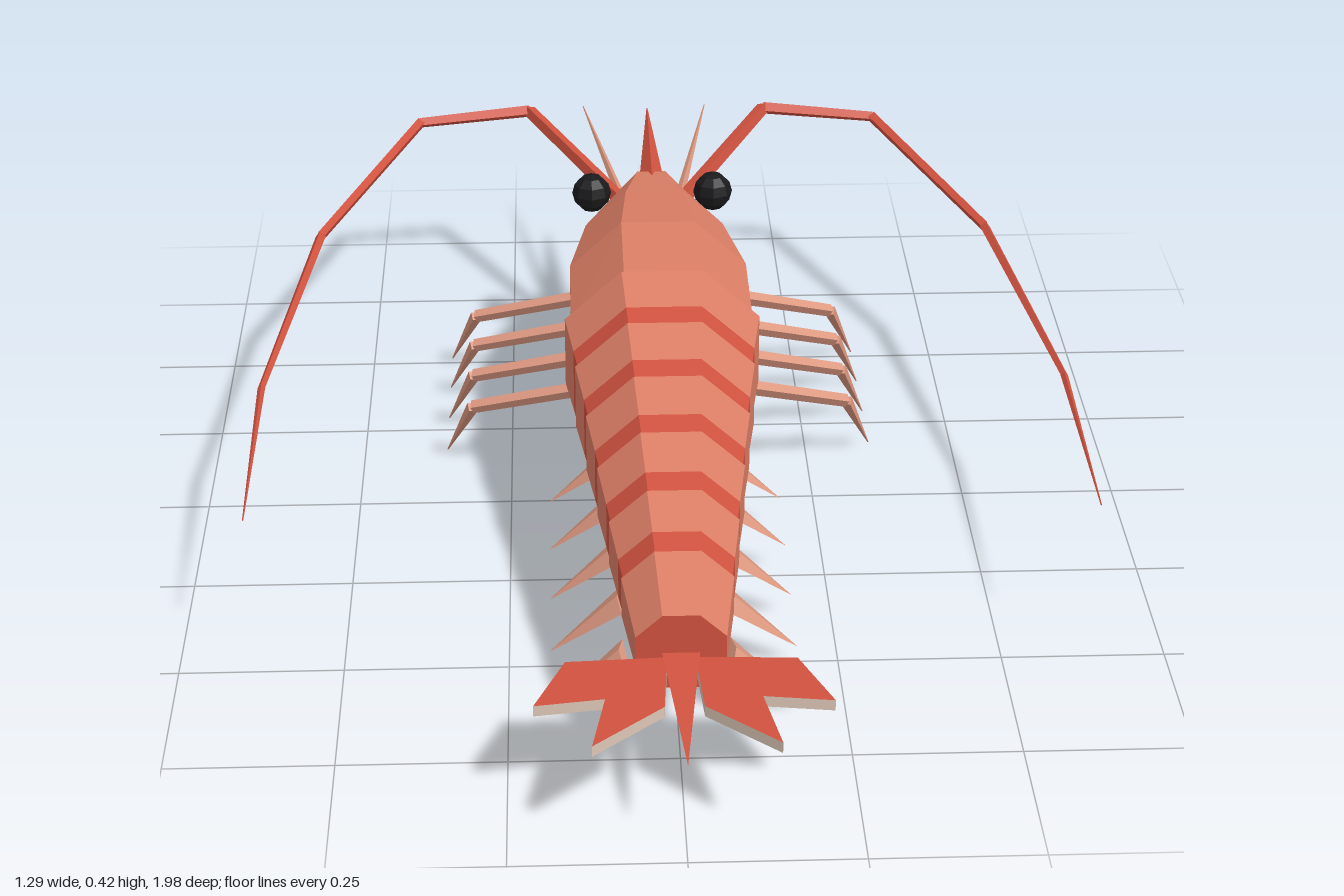
import * as THREE from 'three';

const mat = (name, color) => {
  const m = new THREE.MeshStandardMaterial({ color });
  m.name = name;
  return m;
};

// Faceted mesh: every face gets its own normal
function facet(name, geo, material) {
  const g = geo.index ? geo.toNonIndexed() : geo;
  g.computeVertexNormals();
  const mesh = new THREE.Mesh(g, material);
  mesh.name = name;
  return mesh;
}

// Octagonal ring with flat top and sides: [z, centre y, half width, half height]
function ringPoints([z, cy, rx, ry]) {
  const k = 1 / Math.cos(Math.PI / 8);
  return Array.from({ length: 8 }, (_, i) => {
    const a = (i + 0.5) * Math.PI / 4;
    return [Math.cos(a) * rx * k, cy + Math.sin(a) * ry * k, z];
  });
}

// Skin chosen sides of the octagon between rings ordered by rising z
function loft(rings, sides) {
  const pos = [], pts = rings.map(ringPoints);
  for (let r = 0; r + 1 < pts.length; r++) {
    for (const i of sides) {
      const j = (i + 1) % 8, a = pts[r], b = pts[r + 1];
      pos.push(...a[i], ...a[j], ...b[j], ...a[i], ...b[j], ...b[i]);
    }
  }
  return new THREE.BufferGeometry().setAttribute('position', new THREE.Float32BufferAttribute(pos, 3));
}

function cap(ring, rear) {
  const p = ringPoints(ring), pos = [];
  for (let i = 1; i < 7; i++) pos.push(...p[0], ...(rear ? p[i] : p[i + 1]), ...(rear ? p[i + 1] : p[i]));
  return new THREE.BufferGeometry().setAttribute('position', new THREE.Float32BufferAttribute(pos, 3));
}

// Tapered rod from p to q; flat squeezes it across its local x
function rod(name, p, q, r0, r1, sides, material, flat = 1) {
  const a = new THREE.Vector3(...p), b = new THREE.Vector3(...q);
  const d = b.clone().sub(a);
  const g = new THREE.CylinderGeometry(r1, r0, d.length(), sides);
  g.scale(flat, 1, 1);
  g.applyQuaternion(new THREE.Quaternion().setFromUnitVectors(new THREE.Vector3(0, 1, 0), d.normalize()));
  const c = a.add(b).multiplyScalar(0.5);
  g.translate(c.x, c.y, c.z);
  return facet(name, g, material);
}

function chain(name, points, radii, sides, material) {
  const group = new THREE.Group();
  group.name = name;
  for (let i = 0; i + 1 < points.length; i++) {
    group.add(rod(name + 'Joint', points[i], points[i + 1], radii[i], radii[i + 1], sides, material));
  }
  return group;
}

export function createModel() {
  const model = new THREE.Group();
  model.name = 'shrimp';
  const shell = mat('shell coral', 0xdd7f66);
  const red = mat('deep red', 0xd0523f);
  const cream = mat('belly cream', 0xdcc6b6);
  const limb = mat('limb pink', 0xdc9880);
  const black = mat('eye black', 0x1a1a1c);
  const BACK = [7, 0, 1, 2, 3], BELLY = [4, 5, 6];

  // Carapace
  const head = [
    [-0.53, 0.303, 0.06, 0.066],
    [-0.39, 0.288, 0.118, 0.106],
    [-0.2, 0.29, 0.147, 0.135],
    [0, 0.286, 0.147, 0.132],
  ];
  model.add(facet('carapace', loft(head, BACK), shell));
  model.add(facet('carapaceBelly', loft(head, BELLY), cream));
  model.add(facet('face', cap(head[0], false), shell));

  // Abdomen: six stepped segments, the first five ending in a red band
  const L = 0.127, N = 6;
  const ringAt = (z, k = 1) => {
    const t = z / (L * N);
    return [z, 0.29 - 0.087 * t, (0.157 - 0.09 * t) * k, (0.142 - 0.08 * t) * k];
  };
  for (let i = 0; i < N; i++) {
    const front = ringAt(i * L), rear = ringAt((i + 1) * L, 0.97);
    const last = i === N - 1;
    const mid = front.map((v, j) => v + (rear[j] - v) * (last ? 1 : 0.67));
    model.add(facet('segmentShell', loft([front, mid], BACK), shell));
    if (!last) model.add(facet('segmentBand', loft([mid, rear], BACK), red));
    model.add(facet('segmentBelly', loft([front, rear], BELLY), cream));
    model.add(facet('segmentFront', cap(front, false), shell));
    if (last) model.add(facet('abdomenEnd', cap(rear, true), red));
  }

  // Rostrum and telson
  model.add(rod('rostrum', [0, 0.35, -0.5], [0, 0.381, -0.785], 0.024, 0.001, 4, red));
  const telson = new THREE.ConeGeometry(0.032, 0.24, 3);
  telson.rotateX(Math.PI / 2);
  telson.rotateX(0.07);
  telson.translate(0, 0.178, 0.875);
  model.add(facet('telson', telson, red));

  for (const s of [-1, 1]) {
    const side = new THREE.Group();
    side.name = s > 0 ? 'leftSide' : 'rightSide';
    const m = ([x, y, z]) => [x * s, y, z];

    // Eye
    const eye = new THREE.SphereGeometry(0.034, 8, 6);
    eye.translate(s * 0.106, 0.346, -0.495);
    side.add(facet('eye', eye, black));

    // Long swept antenna and short antennule
    side.add(chain('antenna', [
      [0.055, 0.32, -0.52], [0.215, 0.362, -0.825], [0.415, 0.35, -0.805],
      [0.575, 0.312, -0.405], [0.64, 0.285, 0.1], [0.638, 0.272, 0.49],
    ].map(m), [0.013, 0.012, 0.01, 0.009, 0.006, 0.001], 4, red));
    side.add(rod('antennule', m([0.04, 0.287, -0.52]), m([0.115, 0.3, -0.99]), 0.01, 0.001, 4, limb));

    // Walking legs
    for (let i = 0; i < 4; i++) {
      const z = i * 0.112;
      side.add(chain('walkingLeg', [
        [0.08, 0.212, -0.37 + z], [0.313, 0.135, -0.44 + z], [0.36, 0.012, -0.517 + z],
      ].map(m), [0.013, 0.011, 0.001], 4, limb));
    }

    // Swimmerets: flattened spikes
    for (let i = 0; i < 5; i++) {
      const z = 0.115 + i * 0.13, y = 0.08 - i * 0.011;
      side.add(rod('swimmeret', m([0.08, y + 0.083, z]), m([0.186, y - 0.004, z]), 0.04, 0.001, 4, limb, 0.25));
    }

    // Forked tail fan plate with a pale rim
    const fan = new THREE.Shape([
      [0.02, 0.765], [0.165, 0.772], [0.21, 0.882], [0.11, 0.868], [0.13, 0.982], [0.028, 0.89],
    ].map(([x, z]) => new THREE.Vector2(x * s, z)));
    const plate = new THREE.ExtrudeGeometry(fan, { depth: 0.017, bevelEnabled: false });
    plate.rotateX(Math.PI / 2);
    plate.translate(0, 0.196, 0);
    side.add(facet('tailFan', plate, [red, cream]));
    model.add(side);
  }
  return model;
}
